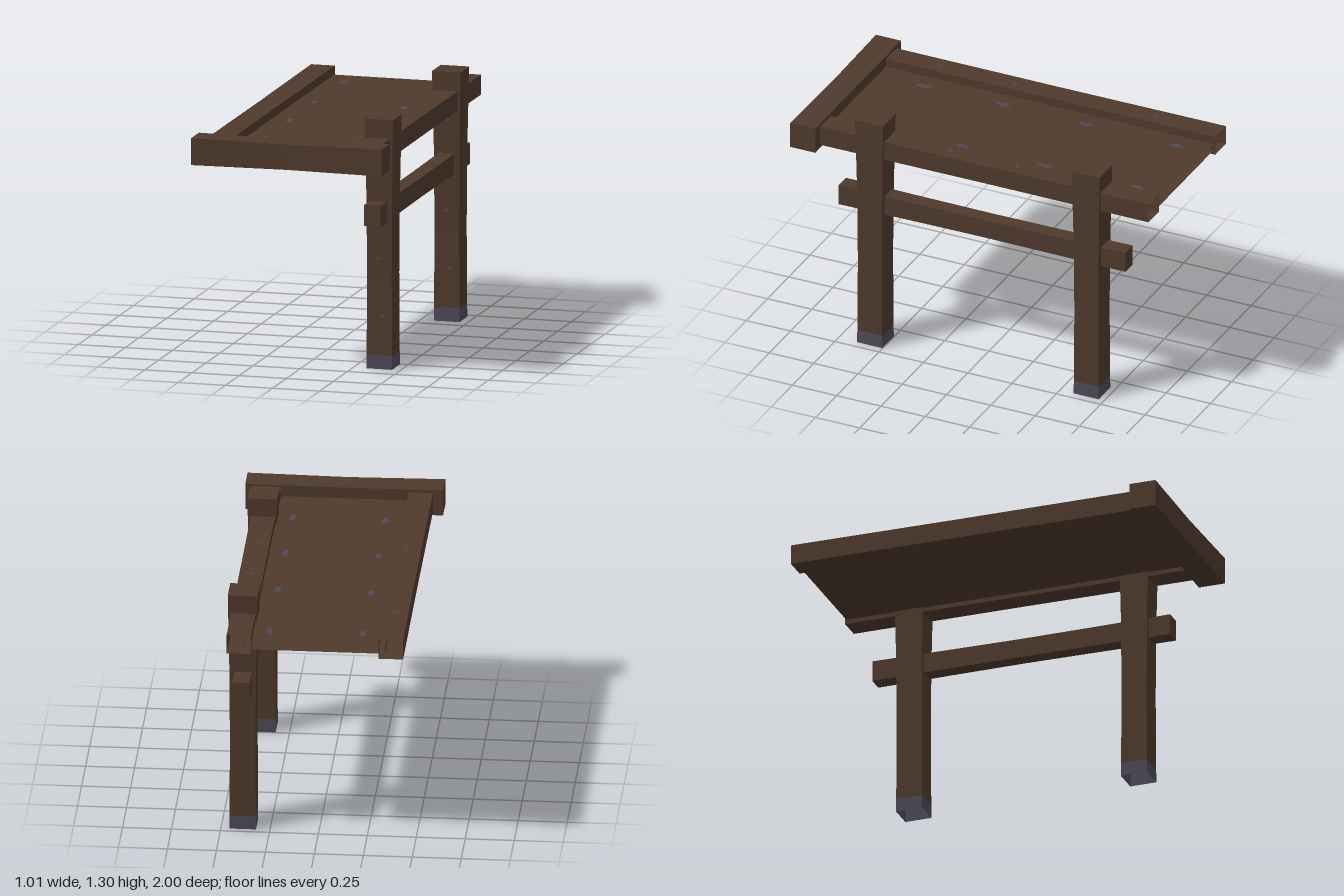
import * as THREE from 'three';

export function createModel() {
  const wood = new THREE.MeshStandardMaterial({ color: 0x4f3a2d, side: THREE.DoubleSide });
  wood.name = 'darkWood';
  const iron = new THREE.MeshStandardMaterial({ color: 0x4e4a58, side: THREE.DoubleSide });
  iron.name = 'greyIron';
  const group = new THREE.Group();

  // Box timber given by [min, max] per axis; scales swell its section along one axis.
  // open lists the faces to leave out (+x -x +y -y +z -z are 0 to 5).
  function timber(name, x, y, z, axis, scales, open = [], material = wood) {
    const ranges = [x, y, z];
    const size = ranges.map(([a, b]) => b - a);
    const n = scales.length - 1;
    const seg = [0, 1, 2].map((i) => (i === axis ? n : 1));
    let geo = new THREE.BoxGeometry(...size, ...seg);
    const index = Array.from(geo.index.array);
    const kept = geo.groups
      .filter((g) => !open.includes(g.materialIndex))
      .flatMap((g) => index.slice(g.start, g.start + g.count));
    geo.setIndex(kept);
    geo.clearGroups();
    const p = geo.attributes.position;
    for (let v = 0; v < p.count; v++) {
      const t = Math.round((p.getComponent(v, axis) / size[axis] + 0.5) * n);
      for (let i = 0; i < 3; i++) {
        if (i !== axis) p.setComponent(v, i, p.getComponent(v, i) * scales[t]);
      }
    }
    geo = geo.toNonIndexed();
    geo.computeVertexNormals();
    geo.translate(...ranges.map(([a, b]) => (a + b) / 2));
    const mesh = new THREE.Mesh(geo, material);
    mesh.name = name;
    group.add(mesh);
  }

  // Small flat nail head facing up or forward
  function nail(name, x, y, z, w, h, up) {
    const mesh = new THREE.Mesh(new THREE.CircleGeometry(1, 6), iron);
    mesh.name = name;
    mesh.scale.set(w / 2, h / 2, 1);
    if (up) mesh.rotation.x = -Math.PI / 2;
    mesh.position.set(x, y, z);
    group.add(mesh);
  }

  // Posts with iron shoes, hollow at the foot
  for (const z of [0.574, -0.648]) {
    const px = [0.321, 0.457];
    const pz = [z - 0.071, z + 0.071];
    timber('post', px, [0.072, 1.3], pz, 1, [0.99, 0.96, 1, 1.11], [3]);
    timber('postShoe', px, [0, 0.072], pz, 1, [1, 0.99], [2, 3], iron);
    for (const [x, y, out] of [[0.39, 1.055, 0.075], [0.385, 0.575, 0.07], [0.405, 0.28, 0.071]]) {
      nail('postNail', x, y, z + out, 0.02, 0.02, false);
    }
  }

  // Long side rails, open at the back end
  timber('rightRail', [-0.453, -0.328], [1.098, 1.202], [-1, 0.87], 2, [1, 0.98, 1], [5]);
  timber('leftRail', [0.323, 0.448], [1.098, 1.202], [-0.996, 0.87], 2, [1, 0.98, 1], [5]);

  // Front cross beam and low stretcher through the posts
  timber('frontBeam', [-0.505, 0.505], [1.08, 1.22], [0.858, 1], 0, [1, 0.97, 0.94, 0.97, 1]);
  timber('stretcher', [0.343, 0.43], [0.765, 0.875], [-0.856, 0.762], 2, [1, 0.95, 0.92, 0.95, 1]);

  // Hollow board let into the rails, open at the back
  timber('tableBoard', [-0.36, 0.36], [1.122, 1.157], [-0.99, 0.87], 2, [1, 1], [5]);

  // Nails on the board and rails
  for (const z of [-0.83, -0.31, 0.15, 0.6]) {
    for (const x of [-0.232, 0.242]) nail('boardNail', x, 1.1578, z, 0.035, 0.08, true);
  }
  for (const [x, z] of [[-0.395, -0.64], [-0.38, 0.15], [-0.39, 0.58], [0.385, -0.22], [0.382, 0.15]]) {
    nail('railNail', x, 1.203, z, 0.022, 0.022, true);
  }

  return group;
}
